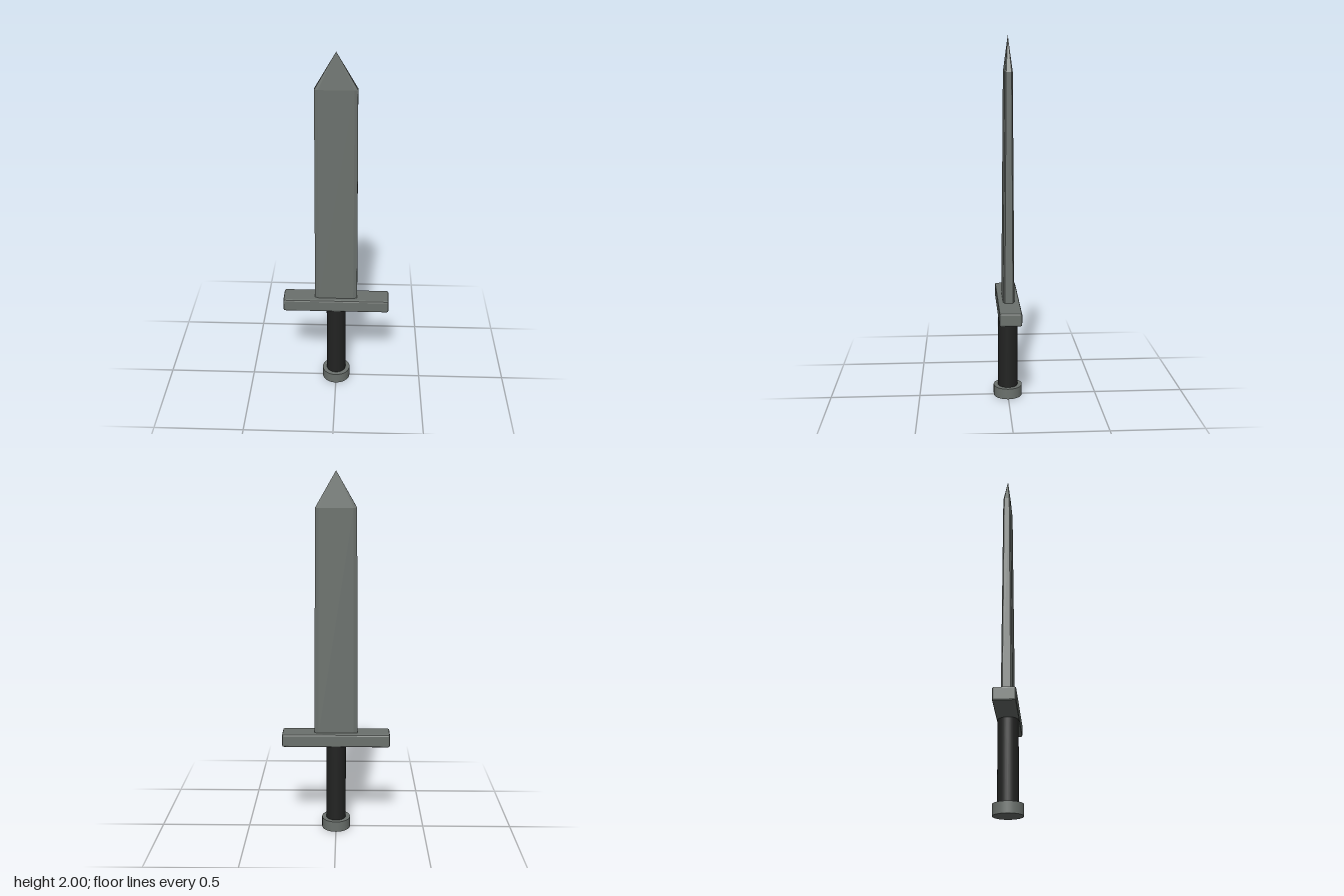
import * as THREE from 'three';
import { RoundedBoxGeometry } from 'three/addons/geometries/RoundedBoxGeometry.js';

// Ring of a slab with cut corners: half width w, half depth d, at height y
function section(y, w, d, cutX, cutZ) {
  return [
    [w, d - cutZ], [w, cutZ - d], [w - cutX, -d], [cutX - w, -d],
    [-w, cutZ - d], [-w, d - cutZ], [cutX - w, d], [w - cutX, d],
  ].map(([x, z]) => new THREE.Vector3(x, y, z));
}

// Tapering blade: rings joined by quads, closed below and drawn to a point on top
function bladeGeometry() {
  const rings = [
    section(0.565, 0.12, 0.031, 0.022, 0.009),
    section(1.81, 0.11, 0.021, 0.018, 0.007),
  ];
  const apex = new THREE.Vector3(0, 2, 0);
  const base = new THREE.Vector3(0, 0.565, 0);
  const [low, high] = rings;
  const points = [];
  for (let i = 0; i < 8; i++) {
    const j = (i + 1) % 8;
    points.push(low[i], low[j], high[j], low[i], high[j], high[i]);
    points.push(high[i], high[j], apex);
    points.push(low[j], low[i], base);
  }
  const geometry = new THREE.BufferGeometry().setFromPoints(points);
  geometry.computeVertexNormals();
  return geometry;
}

// Flat normals for hard-edged parts
function faceted(geometry) {
  const flat = geometry.index ? geometry.toNonIndexed() : geometry;
  flat.computeVertexNormals();
  return flat;
}

export function createModel() {
  const steel = new THREE.MeshStandardMaterial({ color: 0x6b716d });
  steel.name = 'steel';
  const leather = new THREE.MeshStandardMaterial({ color: 0x222322 });
  leather.name = 'dark leather';

  const model = new THREE.Group();
  model.name = 'sword';
  const add = (name, geometry, material, y = 0) => {
    const mesh = new THREE.Mesh(geometry, material);
    mesh.name = name;
    mesh.position.y = y;
    model.add(mesh);
  };

  add('blade', bladeGeometry(), steel);

  // Crossguard with narrow bevels
  add('crossguard', faceted(new RoundedBoxGeometry(0.6, 0.075, 0.12, 1, 0.01)), steel, 0.5375);

  add('grip', new THREE.CylinderGeometry(0.055, 0.055, 0.46, 32), leather, 0.28);
  add('pommel', new THREE.CylinderGeometry(0.08, 0.08, 0.06, 32), steel, 0.03);

  return model;
}
